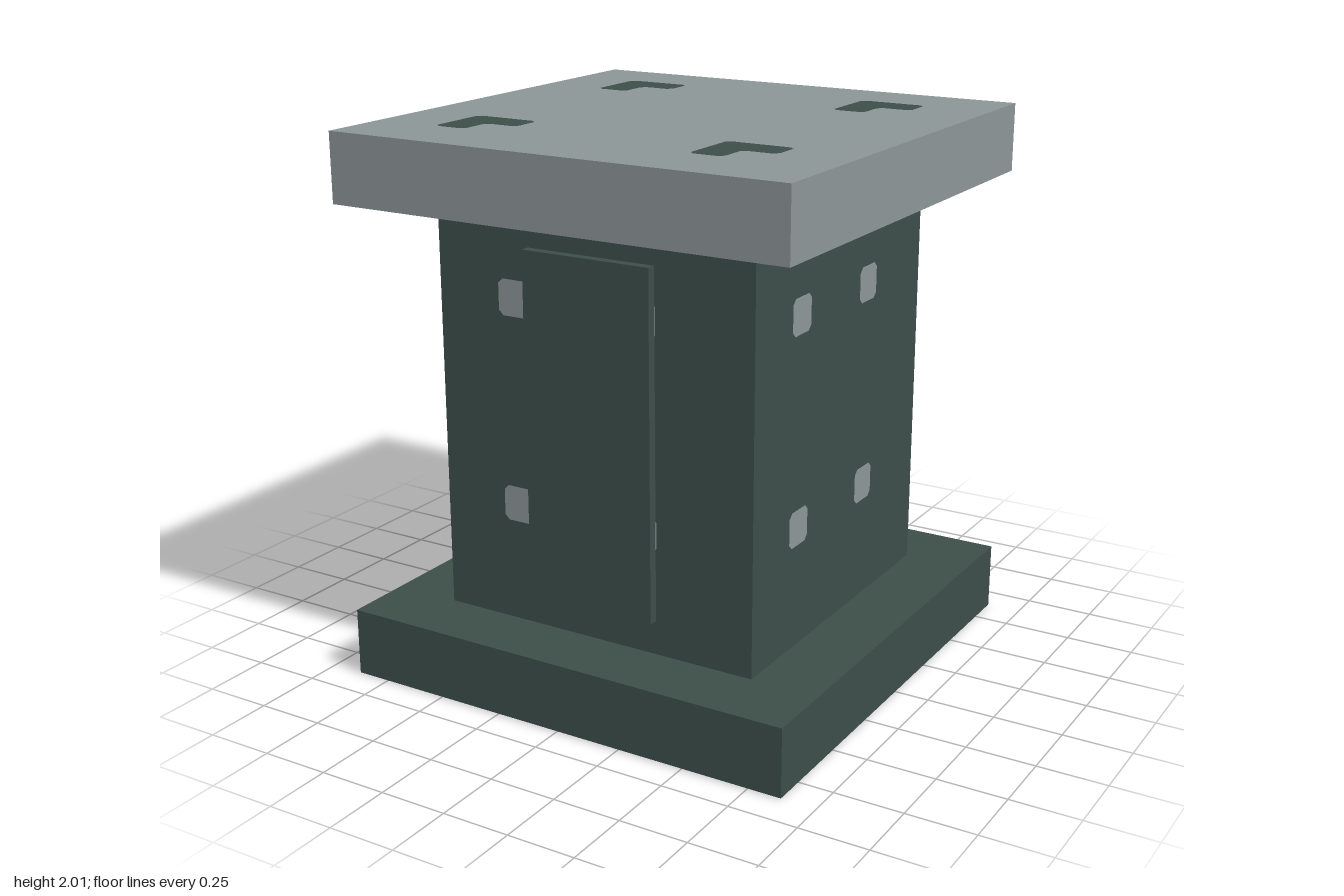
import * as THREE from 'three';

const LIFT = 0.003; // painted plates sit just above the surface
const CUT = 0.018; // clipped corner size of the painted plates

// Flat polygon with every corner clipped
function clippedPlate(corners) {
  const points = [];
  corners.forEach(([x, y], i) => {
    const corner = new THREE.Vector2(x, y);
    const prev = new THREE.Vector2(...corners.at(i - 1));
    const next = new THREE.Vector2(...corners[(i + 1) % corners.length]);
    for (const other of [prev, next]) {
      points.push(other.sub(corner).setLength(CUT).add(corner));
    }
  });
  return new THREE.ShapeGeometry(new THREE.Shape(points));
}

export function createModel() {
  const model = new THREE.Group();
  model.name = 'blockTower';

  const green = new THREE.MeshStandardMaterial({ color: 0x3c4e49 });
  green.name = 'darkGreen';
  const grey = new THREE.MeshStandardMaterial({ color: 0x8c9596 });
  grey.name = 'lightGrey';

  const add = (parent, name, geometry, material, x, y, z) => {
    const mesh = new THREE.Mesh(geometry, material);
    mesh.name = name;
    mesh.position.set(x, y, z);
    parent.add(mesh);
    return mesh;
  };
  const box = (name, w, h, d, material, y, z = 0) =>
    add(model, name, new THREE.BoxGeometry(w, h, d), material, 0, y, z);

  // Solid blocks
  box('base', 1.75, 0.25, 1.75, green, 0.125);
  box('body', 1.25, 1.5, 1.25, green, 1);
  box('cap', 1.75, 0.25, 1.75, grey, 1.875);
  box('doorPanel', 0.5, 1.25, 0.035, green, 1, 0.6425);

  // Four small windows on each wall
  const h = 0.065;
  const square = clippedPlate([[-h, -h], [h, -h], [h, h], [-h, h]]);
  ['front', 'right', 'back', 'left'].forEach((side, i) => {
    const wall = new THREE.Group();
    wall.name = side + 'Windows';
    wall.rotation.y = i * Math.PI / 2;
    for (const x of [-0.31, 0.19]) {
      for (const y of [0.69, 1.44]) add(wall, 'window', square, grey, x, y, 0.625 + LIFT);
    }
    model.add(wall);
  });

  // Angle marks on the cap and square marks under the base
  const angle = clippedPlate([
    [0, 0], [0, -0.25], [0.125, -0.25], [0.125, -0.125], [0.25, -0.125], [0.25, 0],
  ]);
  for (const x of [-0.627, 0.376]) {
    for (const z of [-0.627, 0.374]) {
      add(model, 'capMark', angle, green, x, 2 + LIFT, z).rotation.x = -Math.PI / 2;
      add(model, 'baseMark', square, grey, x + (x < 0 ? 0.19 : 0.187), -LIFT, z + 0.064)
        .rotation.x = Math.PI / 2;
    }
  }
  return model;
}
